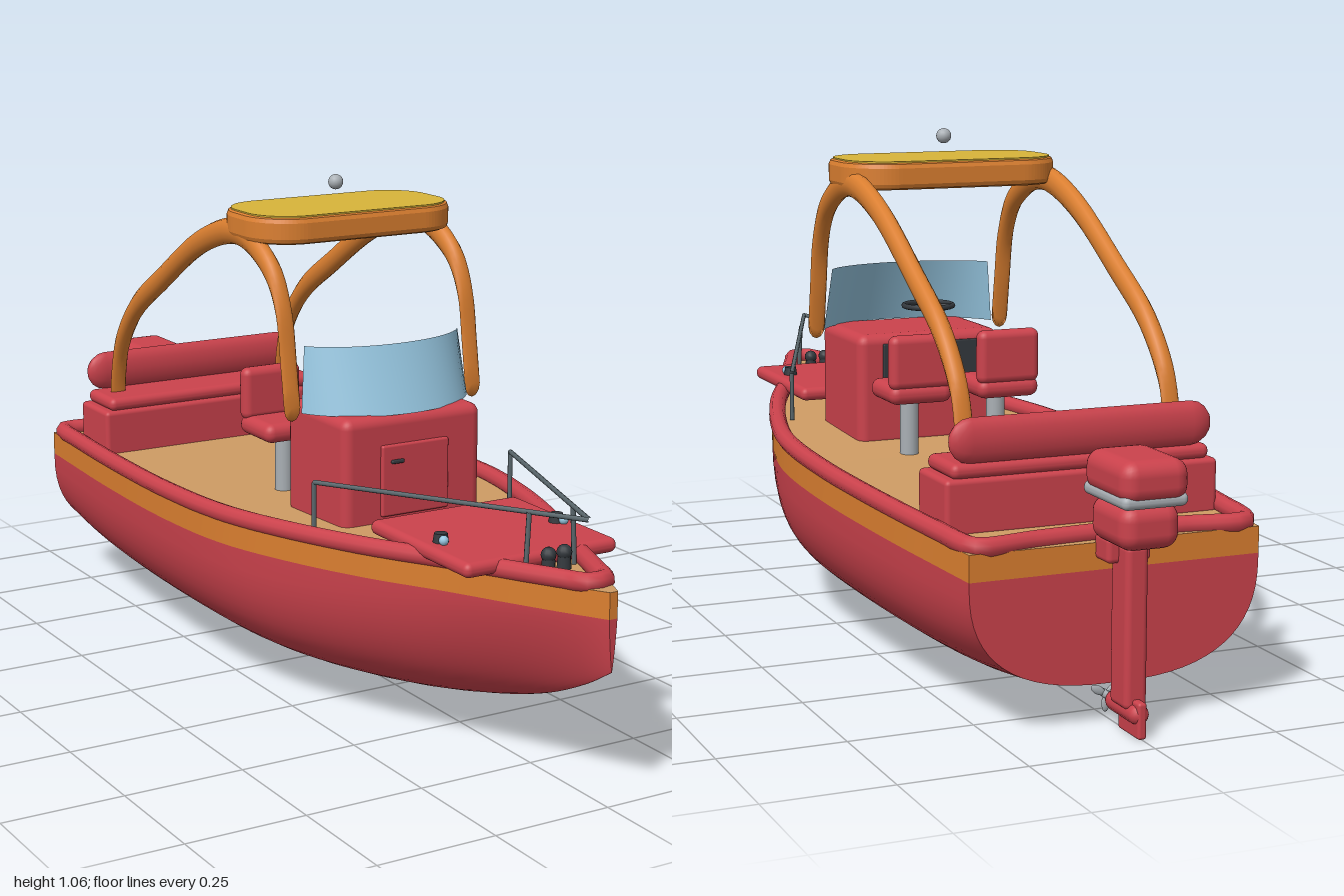
import * as THREE from 'three';
import { RoundedBoxGeometry } from 'three/addons/geometries/RoundedBoxGeometry.js';

const paint = (name, color, side = THREE.FrontSide) => {
  const m = new THREE.MeshStandardMaterial({ color, side });
  m.name = name;
  return m;
};

// Surface through a list of cross-sections, each a list of [x, y, z]
function loft(rings, closed = false) {
  const n = rings[0].length, index = [];
  for (let i = 0; i < rings.length - 1; i++) {
    for (let j = 0; j < (closed ? n : n - 1); j++) {
      const k = (j + 1) % n, a = i * n + j, b = i * n + k;
      index.push(a, b, a + n, b, b + n, a + n);
    }
  }
  const g = new THREE.BufferGeometry();
  g.setAttribute('position', new THREE.Float32BufferAttribute(rings.flat(2), 3));
  g.setIndex(index);
  g.computeVertexNormals();
  return g;
}

export function createModel() {
  const red = paint('red', 0xcb424c, THREE.DoubleSide);
  const orange = paint('orange', 0xdb7f30);
  const tan = paint('tan deck', 0xcf9c64, THREE.DoubleSide);
  const yellow = paint('yellow', 0xd8b53a);
  const glass = paint('light blue glass', 0x96c6e0, THREE.DoubleSide);
  const dark = paint('dark trim', 0x34393e);
  const steel = paint('dark steel', 0x5a676c);
  const grey = paint('light grey', 0xaab0b5);

  const boat = new THREE.Group();
  boat.name = 'boat';
  const add = (name, geo, mat, x = 0, y = 0, z = 0) => {
    const m = new THREE.Mesh(geo, mat);
    m.name = name;
    m.position.set(x, y, z);
    boat.add(m);
    return m;
  };
  const box = (name, mat, w, h, d, x, y, z, r = 0.012) =>
    add(name, new RoundedBoxGeometry(w, h, d, 3, r), mat, x, y, z);
  const rod = (name, mat, a, b, r) => {
    const p = new THREE.LineCurve3(new THREE.Vector3(...a), new THREE.Vector3(...b));
    return add(name, new THREE.TubeGeometry(p, 1, r, 8), mat);
  };

  // Hull: half width, keel height, z at each station
  const stations = new THREE.CatmullRomCurve3([
    [0.298, 0.08, -0.84], [0.31, 0.062, -0.7], [0.327, 0.053, -0.5], [0.345, 0.053, -0.15],
    [0.335, 0.053, 0.1], [0.29, 0.06, 0.3], [0.222, 0.08, 0.5], [0.15, 0.115, 0.66],
    [0.09, 0.165, 0.81], [0.04, 0.222, 0.93], [0.009, 0.265, 1],
  ].map(p => new THREE.Vector3(...p))).getPoints(50);
  const sheer = z => 0.375 + 0.036 * z + 0.009 * z * z;
  const band = 0.052;
  const bottom = stations.map(({ x: w, y: keel, z }) => {
    const e = 2 / (2.6 - 1.35 * THREE.MathUtils.smoothstep(z, 0.15, 1));
    const low = sheer(z) - band, ring = [];
    for (let i = 0; i <= 32; i++) {
      const a = (i / 32 - 0.5) * Math.PI, s = Math.sin(a);
      const c = Math.max(0, Math.cos(a));
      ring.push([w * Math.sign(s) * Math.abs(s) ** e, low - (low - keel) * c ** e, z]);
    }
    return ring;
  });
  const hub = ring => ring.map(p => [0, ring[0][1], p[2]]);
  const bow = bottom[bottom.length - 1];
  add('hull', loft(bottom), red);
  add('transom', loft([hub(bottom[0]), bottom[0]]), red);
  add('stem', loft([bow, hub(bow)]), red);

  // Painted band and flat deck
  const edge = (p, s, drop) => [s * p.x, sheer(p.z) - drop, p.z];
  const across = (p, drop) => [edge(p, -1, drop), edge(p, 1, drop)];
  const aft = stations[0], fore = stations[stations.length - 1];
  add('rightBand', loft(stations.map(p => [edge(p, -1, 0), edge(p, -1, band)])), orange);
  add('leftBand', loft(stations.map(p => [edge(p, 1, band), edge(p, 1, 0)])), orange);
  add('transomBand', loft([across(aft, 0), across(aft, band)]), orange);
  add('stemBand', loft([across(fore, band), across(fore, 0)]), orange);
  add('deck', loft(stations.map(p => [edge(p, 1, 0), edge(p, -1, 0)])), tan);

  // Gunwale running round the deck edge
  const side = stations.filter((p, i) => i % 2 === 0 && p.z > -0.83 && p.z < 0.96);
  const railPoint = (p, s) => new THREE.Vector3(s * Math.max(p.x - 0.013, 0.006), sheer(p.z) + 0.009, p.z);
  const gunwale = new THREE.CatmullRomCurve3([
    new THREE.Vector3(0, 0.36, -0.805), new THREE.Vector3(0.15, 0.36, -0.813), new THREE.Vector3(0.275, 0.36, -0.825),
    ...side.map(p => railPoint(p, 1)), ...side.map(p => railPoint(p, -1)).reverse(),
    new THREE.Vector3(-0.275, 0.36, -0.825), new THREE.Vector3(-0.15, 0.36, -0.813),
  ], true);
  add('gunwale', new THREE.TubeGeometry(gunwale, 200, 0.019, 10, true), red);

  // Foredeck hatch
  box('foredeckHatch', red, 0.35, 0.03, 0.35, 0, 0.423, 0.605, 0.014);

  // Console with door, dash and steering wheel
  box('console', red, 0.33, 0.25, 0.24, 0, 0.485, 0.198, 0.022);
  box('consoleDoor', red, 0.16, 0.15, 0.012, 0, 0.475, 0.32, 0.005);
  box('doorHandle', dark, 0.03, 0.008, 0.008, -0.045, 0.515, 0.328, 0.003);
  box('dash', dark, 0.22, 0.1, 0.008, 0, 0.54, 0.077, 0.003);
  add('steeringWheel', new THREE.TorusGeometry(0.053, 0.006, 8, 28), dark, 0, 0.668, 0.088).rotation.x = Math.PI / 2;
  for (let i = 0; i < 3; i++) {
    const a = i * Math.PI * 2 / 3;
    rod('wheelSpoke', dark, [0, 0.668, 0.088], [0.053 * Math.sin(a), 0.668, 0.088 + 0.053 * Math.cos(a)], 0.004);
  }

  // Curved raked windshield
  const arc = (w, y, z0, z1) => Array.from({ length: 25 }, (_, i) => {
    const t = i / 12 - 1;
    return [w * Math.sin(t * 1.2) / Math.sin(1.2), y, z0 + (z1 - z0) * (1 - Math.cos(t * 1.2)) / (1 - Math.cos(1.2))];
  });
  add('windshield', loft([arc(0.2, 0.608, 0.315, 0.205), arc(0.185, 0.744, 0.262, 0.19)]), glass);

  // Helm seats
  for (const s of [-1, 1]) {
    add('seatPost', new THREE.CylinderGeometry(0.02, 0.02, 0.14, 16), grey, s * 0.1, 0.435, -0.05);
    box('seatCushion', red, 0.14, 0.042, 0.135, s * 0.1, 0.512, -0.062, 0.02);
    box('seatBack', red, 0.14, 0.115, 0.036, s * 0.1, 0.58, -0.112, 0.017);
  }

  // Stern bench
  box('benchBase', red, 0.57, 0.11, 0.14, 0, 0.402, -0.63, 0.01);
  box('benchCushion', red, 0.54, 0.03, 0.13, 0, 0.47, -0.63, 0.014);
  const back = add('benchBack', new THREE.CapsuleGeometry(0.044, 0.46, 4, 12), red, 0, 0.527, -0.685);
  back.rotation.z = Math.PI / 2;
  back.scale.z = 0.45;

  // Arched canopy frame, sections kept upright along the path
  const path = new THREE.CatmullRomCurve3([
    [-0.638, 0.47], [-0.628, 0.54], [-0.605, 0.61], [-0.525, 0.705], [-0.39, 0.792], [-0.205, 0.9],
    [-0.07, 0.946], [0, 0.948], [0.06, 0.928], [0.13, 0.88], [0.168, 0.81], [0.186, 0.71], [0.2, 0.62],
  ].map(([z, y]) => new THREE.Vector3(0, y, z))).getPoints(60);
  for (const s of [-1, 1]) {
    const rings = path.map(p => Array.from({ length: 12 }, (_, i) => {
      const a = i / 6 * Math.PI;
      return [s * 0.219 + 0.019 * Math.cos(a), p.y + 0.028 * Math.sin(a), p.z];
    }));
    const cap = (r, p) => r.map(() => [s * 0.219, p.y, p.z]);
    const last = path.length - 1;
    add('canopyFrame', loft([cap(rings[0], path[0]), ...rings, cap(rings[last], path[last])], true), orange);
  }

  // Canopy: rounded slab with a thin inset top
  const slab = (w, d, r) => {
    const q = new THREE.Shape();
    q.absarc(w - r, d - r, r, 0, Math.PI / 2);
    q.absarc(-w + r, d - r, r, Math.PI / 2, Math.PI);
    q.absarc(-w + r, -d + r, r, Math.PI, Math.PI * 1.5);
    q.absarc(w - r, -d + r, r, Math.PI * 1.5, Math.PI * 2);
    return q;
  };
  const extrude = (shape, depth, bevel) => new THREE.ExtrudeGeometry(shape, {
    depth, bevelEnabled: bevel > 0, bevelSize: bevel, bevelThickness: bevel, bevelSegments: 2, curveSegments: 10,
  }).rotateX(-Math.PI / 2);
  add('canopyRim', extrude(slab(0.228, 0.114, 0.09), 0.033, 0.012), orange, 0, 0.952, 0.012);
  add('canopyTop', extrude(slab(0.23, 0.117, 0.09), 0.004, 0), yellow, 0, 0.995, 0.012);
  add('mastheadLight', new THREE.SphereGeometry(0.016, 16, 12), grey, 0, 1.042, 0);

  // Bow rail, deck lights and cleats
  for (const s of [-1, 1]) {
    rod('bowRail', steel, [0, 0.535, 0.92], [s * 0.237, 0.496, 0.32], 0.005);
    rod('railPost', steel, [s * 0.056, 0.41, 0.8], [s * 0.05, 0.527, 0.8], 0.005);
    rod('railPost', steel, [s * 0.237, 0.39, 0.32], [s * 0.237, 0.496, 0.32], 0.005);
    add('lightBase', new THREE.CylinderGeometry(0.013, 0.016, 0.02, 12), dark, s * 0.135, 0.446, 0.63);
    add('deckLight', new THREE.SphereGeometry(0.01, 12, 8), glass, s * 0.14, 0.446, 0.648);
    add('cleatFoot', new THREE.CylinderGeometry(0.012, 0.014, 0.03, 12), dark, s * 0.018, 0.428, 0.82);
    add('cleatHead', new THREE.SphereGeometry(0.015, 12, 8), dark, s * 0.018, 0.445, 0.82);
  }

  // Outboard motor
  box('motorLower', red, 0.12, 0.085, 0.15, 0, 0.403, -0.908, 0.03);
  box('motorBand', grey, 0.132, 0.026, 0.172, 0, 0.455, -0.908, 0.012);
  box('motorCowl', red, 0.136, 0.08, 0.178, 0, 0.49, -0.911, 0.03);
  box('motorLeg', red, 0.046, 0.31, 0.07, 0, 0.205, -0.89, 0.012);
  box('motorBracket', red, 0.09, 0.05, 0.06, 0, 0.345, -0.86, 0.01);
  const pod = add('gearPod', new THREE.CapsuleGeometry(0.02, 0.09, 6, 14), red, 0, 0.045, -0.885);
  pod.rotation.x = Math.PI / 2;
  box('skeg', red, 0.018, 0.07, 0.085, 0, 0.036, -0.908, 0.006);
  rod('propShaft', grey, [0, 0.045, -0.83], [0, 0.045, -0.785], 0.008);
  for (let i = 0; i < 3; i++) {
    const a = Math.PI / 2 + i * Math.PI * 2 / 3;
    const blade = add('propBlade', new THREE.SphereGeometry(0.017, 10, 8), grey, 0.018 * Math.cos(a), 0.045 - 0.018 * Math.sin(a), -0.797);
    blade.scale.set(1, 0.5, 0.25);
    blade.rotation.z = -a;
  }
  return boat;
}
